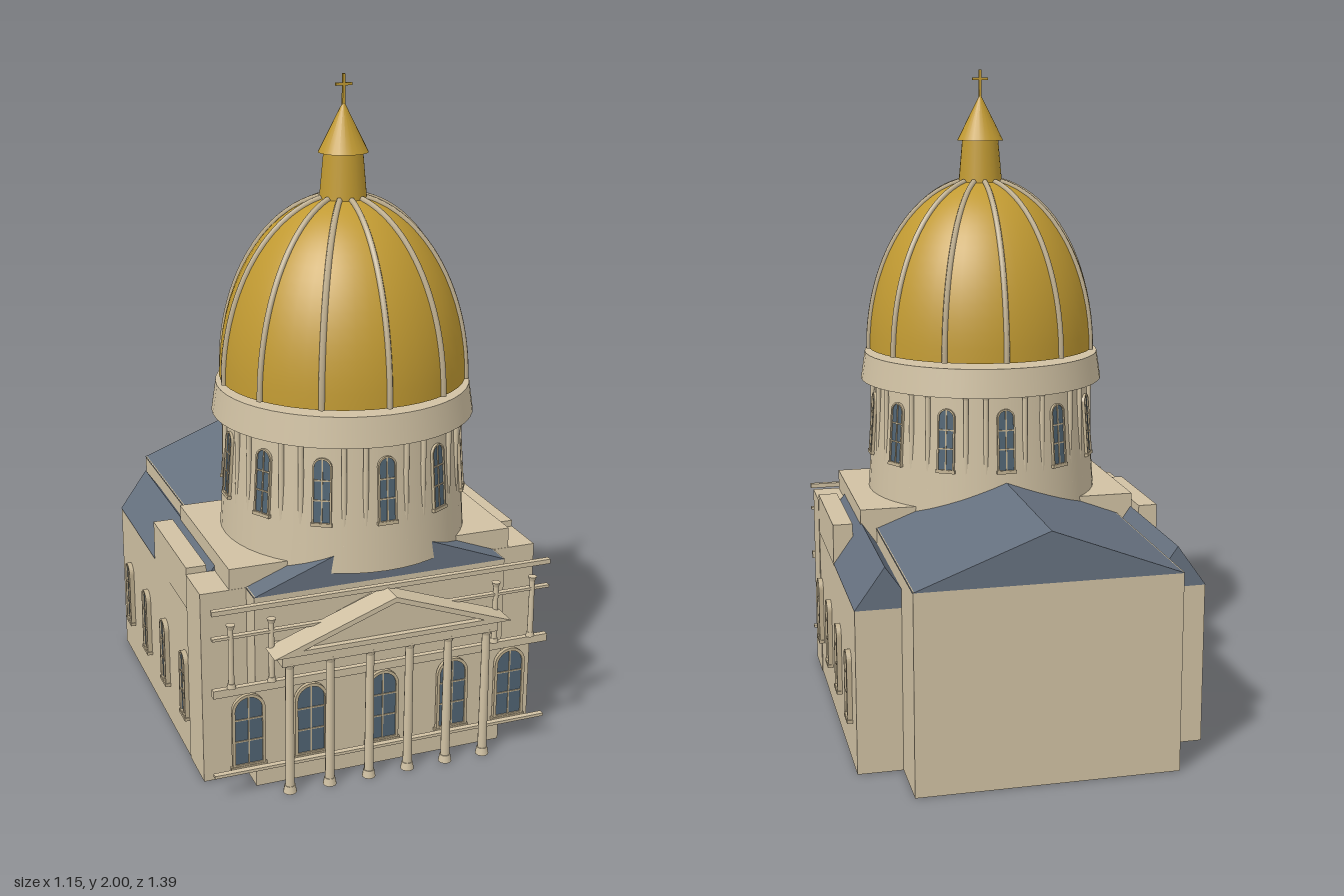
import * as THREE from 'three';

const mat = (color, side = THREE.FrontSide) => new THREE.MeshStandardMaterial({ color, side });
const stone = mat(0xd0c1a3);
const slate = mat(0x66717f);
const glass = mat(0x506473);
const gold = mat(0xc19a32, THREE.DoubleSide);
const trim = mat(0xc0b090);

const DOME_Z = 0.228;

function add(parent, name, geometry, material, x = 0, y = 0, z = 0) {
  const mesh = new THREE.Mesh(geometry, material);
  mesh.name = name;
  mesh.position.set(x, y, z);
  parent.add(mesh);
  return mesh;
}

// Box given by its limits on each axis
function block(parent, name, [x0, x1], [y0, y1], [z0, z1], material = stone) {
  return add(parent, name, new THREE.BoxGeometry(x1 - x0, y1 - y0, z1 - z0), material,
    (x0 + x1) / 2, (y0 + y1) / 2, (z0 + z1) / 2);
}

// Solid with an x-y outline running from z0 to z1
function prism(parent, name, points, z0, z1, material, hole) {
  const shape = new THREE.Shape(points.map(p => new THREE.Vector2(...p)));
  if (hole) shape.holes.push(new THREE.Path(hole.map(p => new THREE.Vector2(...p))));
  const g = new THREE.ExtrudeGeometry(shape, { depth: z1 - z0, bevelEnabled: false });
  return add(parent, name, g, material, 0, 0, z0);
}

function archPath(path, w, y0, h) {
  const r = w / 2;
  path.moveTo(-r, y0);
  path.lineTo(r, y0);
  path.lineTo(r, h - r);
  path.absarc(0, h - r, r, 0, Math.PI, false);
  path.lineTo(-r, y0);
  return path;
}

// Arched window: pane, frame, glazing bars and sill, facing +z, standing on y = 0
function archedWindow(name, w, h, depth) {
  const group = new THREE.Group();
  group.name = name;
  const f = w * 0.09;
  const inner = w - 2 * f;
  const extrude = (shape, d) =>
    new THREE.ExtrudeGeometry(shape, { depth: d, bevelEnabled: false, curveSegments: 8 });
  add(group, 'pane', extrude(archPath(new THREE.Shape(), inner, f, h - f), depth * 0.6), glass);
  const frame = archPath(new THREE.Shape(), w, 0, h);
  frame.holes.push(archPath(new THREE.Path(), inner, f, h - f));
  add(group, 'frame', extrude(frame, depth), trim);
  const bar = 0.004, z = [depth * 0.5, depth * 0.85];
  block(group, 'mullion', [-bar / 2, bar / 2], [f, h - f], z, trim);
  for (const t of [0.35, 0.65])
    block(group, 'glazingBar', [-inner / 2, inner / 2], [h * t, h * t + bar], z, trim);
  block(group, 'sill', [-w * 0.55, w * 0.55], [-0.006, 0.004], [0, depth * 1.15], trim);
  return group;
}

// Round column with base and capital
function column(parent, name, x, z, y0, y1, r) {
  const group = new THREE.Group();
  group.name = name;
  group.position.set(x, y0, z);
  const h = y1 - y0, e = r * 1.6;
  add(group, 'shaft', new THREE.CylinderGeometry(r * 0.85, r, h, 12), stone, 0, h / 2, 0);
  add(group, 'base', new THREE.CylinderGeometry(r * 1.15, r * 1.45, e, 12), stone, 0, e / 2, 0);
  add(group, 'capital', new THREE.CylinderGeometry(r * 1.5, r * 0.9, e, 12), stone, 0, h - e / 2, 0);
  parent.add(group);
}

function buildBody(parent) {
  // Nave with its long gabled roof
  block(parent, 'nave', [-0.39, 0.39], [0, 0.602], [-0.667, 0.562]);
  prism(parent, 'naveRoof', [[-0.392, 0.6], [0.392, 0.6], [0, 0.75]], -0.668, 0.563, slate);
  block(parent, 'domePlatform', [-0.44, 0.44], [0.55, 0.663], [-0.03, 0.487]);

  // Aisles, corner piers, parapets and side windows
  for (const s of [-1, 1]) {
    const span = (a, b) => (s > 0 ? [a, b] : [-b, -a]);
    block(parent, 'aisle', span(0.35, 0.525), [0, 0.495], [-0.48, 0.487]);
    const roof = [[0.35, 0.495], [0.526, 0.495], [0.437, 0.62]].map(([x, y]) => [s * x, y]);
    prism(parent, 'aisleRoof', s > 0 ? roof : roof.reverse(), -0.481, 0.345, slate);
    block(parent, 'cornerPier', span(0.35, 0.527), [0, 0.6], [0.343, 0.488]);
    block(parent, 'parapet', span(0.465, 0.526), [0.49, 0.62], [-0.03, 0.343]);
    for (let i = 0; i < 4; i++) {
      const w = archedWindow('sideWindow', 0.062, 0.21, 0.015);
      w.position.set(s * 0.525, 0.13, 0.31 - 0.225 * i);
      w.rotation.y = s * Math.PI / 2;
      parent.add(w);
    }
  }
}

function buildFront(parent) {
  // Row of tall windows
  for (const x of [-0.415, -0.225, 0, 0.225, 0.415]) {
    const w = archedWindow('frontWindow', 0.1, 0.23, 0.012);
    w.position.set(x, 0.08, 0.566);
    parent.add(w);
  }
  // String courses across the facade
  for (const [y, t] of [[0.075, 0.009], [0.338, 0.024], [0.507, 0.008], [0.587, 0.014]])
    block(parent, 'stringCourse', [-0.525, 0.525], [y - t / 2, y + t / 2], [0.581, 0.598]);
  // Upper storey colonnettes
  for (const x of [-0.47, -0.35, 0.35, 0.47]) column(parent, 'colonnette', x, 0.592, 0.35, 0.545, 0.009);
  // Portico
  for (let i = 0; i < 6; i++) column(parent, 'porticoColumn', (i - 2.5) * 0.123, 0.622, 0, 0.42, 0.014);
  block(parent, 'entablature', [-0.335, 0.335], [0.412, 0.456], [0.562, 0.642]);
  prism(parent, 'pediment', [[-0.366, 0.452], [0.366, 0.452], [0, 0.585]], 0.585, 0.666, stone,
    [[-0.28, 0.467], [0, 0.569], [0.28, 0.467]]);
  prism(parent, 'tympanum', [[-0.3, 0.46], [0.3, 0.46], [0, 0.575]], 0.565, 0.648, stone);
}

function buildDome(parent) {
  // Tapered drum with paired columns and windows
  const drumR = y => 0.372 - 0.071 * (y - 0.64);
  add(parent, 'drum', new THREE.CylinderGeometry(drumR(1.03), drumR(0.64), 0.39, 48), stone, 0, 0.835, 0);
  for (let i = 0; i < 12; i++) {
    const a = i * Math.PI / 6;
    const w = archedWindow('drumWindow', 0.056, 0.195, 0.012);
    w.rotation.set(-0.071, a, 0, 'YXZ');
    w.position.set(Math.sin(a) * 0.357, 0.785, Math.cos(a) * 0.357);
    parent.add(w);
    for (const d of [-0.175, 0.175])
      column(parent, 'drumColumn', Math.sin(a + d) * 0.353, Math.cos(a + d) * 0.353, 0.72, 1.025, 0.009);
  }
  add(parent, 'cornice', new THREE.CylinderGeometry(0.377, 0.39, 0.088, 48), stone, 0, 1.066, 0);

  // Gilded shell with ribs along its meridians
  const meridian = (r, t) => [r * Math.cos(t), 1.125 + (0.535 + r - 0.365) * Math.sin(t)];
  const steps = 16, end = 1.385;
  const profile = [], ribLine = [];
  for (let i = 0; i <= steps; i++) {
    const t = end * i / steps;
    profile.push(new THREE.Vector2(...meridian(0.365, t)));
    ribLine.push(new THREE.Vector3(...meridian(0.367, t), 0));
  }
  add(parent, 'dome', new THREE.LatheGeometry(profile, 48), gold);
  const ribGeometry = new THREE.TubeGeometry(new THREE.CatmullRomCurve3(ribLine), 24, 0.009, 6);
  for (let i = 0; i < 12; i++) add(parent, 'rib', ribGeometry, trim).rotation.y = i * Math.PI / 6;

  // Lantern, spire and cross
  add(parent, 'lantern', new THREE.CylinderGeometry(0.057, 0.07, 0.145, 24), gold, 0, 1.713, 0);
  add(parent, 'spire', new THREE.ConeGeometry(0.073, 0.145, 24), gold, 0, 1.853, 0);
  block(parent, 'crossPost', [-0.004, 0.004], [1.91, 2], [-0.004, 0.004], gold);
  block(parent, 'crossArm', [-0.025, 0.025], [1.967, 1.975], [-0.004, 0.004], gold);
}

export function createModel() {
  const model = new THREE.Group();
  model.name = 'domedChurch';
  const building = new THREE.Group();
  building.name = 'building';
  building.rotation.y = -0.082;
  model.add(building);

  buildBody(building);
  buildFront(building);
  const dome = new THREE.Group();
  dome.name = 'domeAndDrum';
  dome.position.z = DOME_Z;
  building.add(dome);
  buildDome(dome);
  return model;
}
